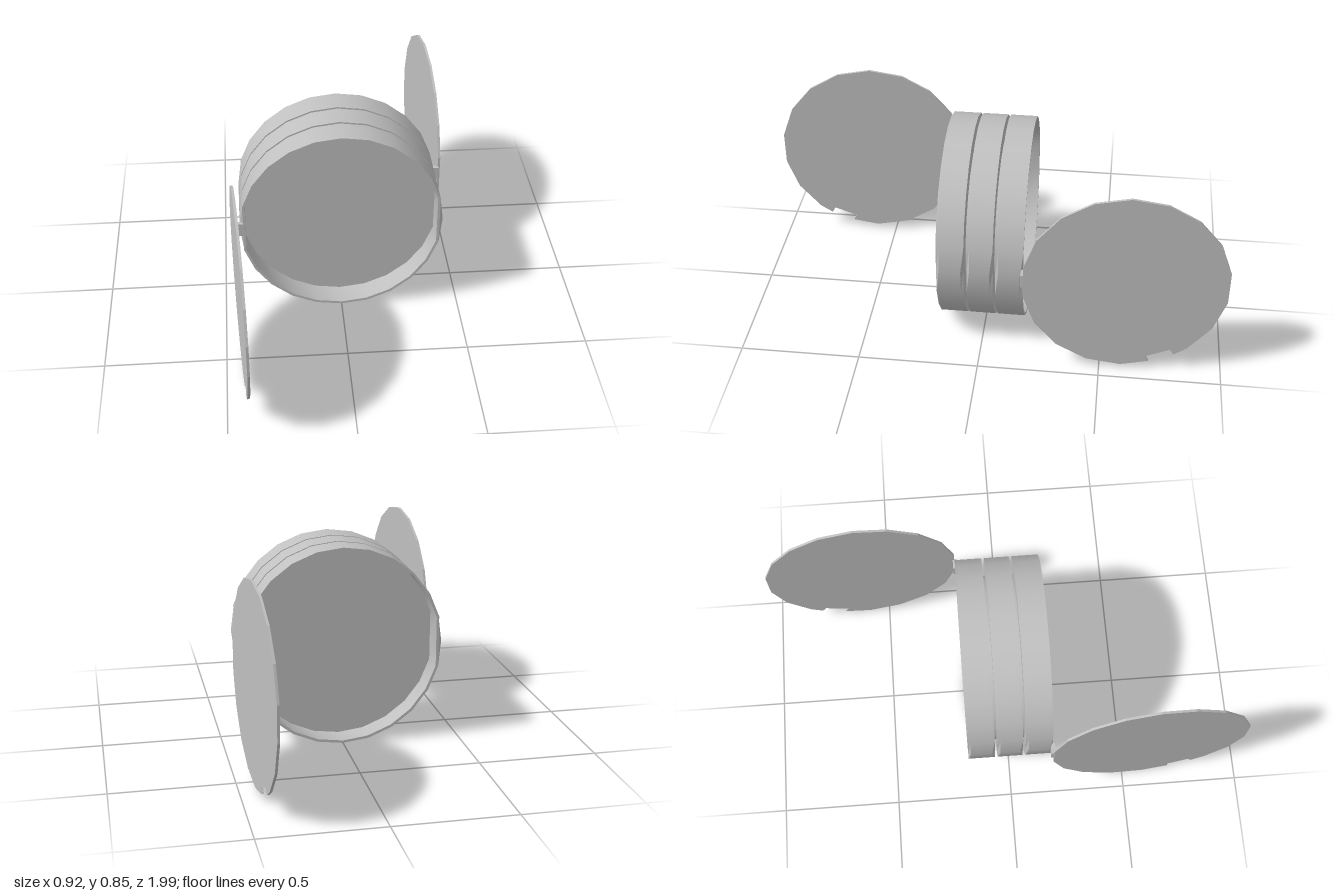
import * as THREE from 'three';
import { toCreasedNormals } from 'three/addons/utils/BufferGeometryUtils.js';

const R = 0.425, INNER = 0.414, SIDES = 24;

// Turned part whose axis runs along z; outline points are [radius, z].
// Side vertices at both ends and inside are flattened to a chord, leaving a chamfer.
function turned(outline, z0, z1) {
  const pts = outline.map(([r, z]) => new THREE.Vector2(r, z));
  const geo = new THREE.LatheGeometry(pts, SIDES).rotateX(Math.PI / 2);
  const p = geo.attributes.position;
  for (let i = 0; i < p.count; i++) {
    const x = p.getX(i), z = p.getZ(i);
    if (Math.abs(p.getY(i)) > 0.001 || Math.abs(x) < 0.3) continue;
    const atEnd = z < z0 + 0.005 || z > z1 - 0.005;
    if (atEnd || Math.abs(x) < R - 0.005) p.setX(i, x * Math.cos(Math.PI / 12));
  }
  return toCreasedNormals(geo, 0.5);
}

// Outer wall with points just inside each end for the side chamfer
const wall = (z0, z1) => [[0, z0], [R, z0], [R, z0 + 0.012], [R, z1 - 0.012], [R, z1]];

export function createModel() {
  const model = new THREE.Group();
  const metal = new THREE.MeshStandardMaterial({ color: 0xc0c0c0 });
  metal.name = 'grey metal';

  const add = (parent, name, geo, x = 0, y = 0, z = 0) => {
    const mesh = new THREE.Mesh(geo, metal);
    mesh.name = name;
    mesh.position.set(x, y, z);
    parent.add(mesh);
  };

  // Closed middle section
  add(model, 'middleSection', turned([...wall(-0.053, 0.053), [0, 0.053]], -0.053, 0.053), 0, R, 0);

  // Lid outline with a thumb notch near the bottom
  const outline = [];
  for (let i = 0; i < 18; i++) {
    const a = i * Math.PI / 9;
    if (i === 8) {
      outline.push([0.215, -0.352], [0.2, -0.327], [0.1, -0.367], [0.115, -0.392]);
    } else {
      outline.push([0.415 * Math.sin(a), 0.415 * Math.cos(a)]);
    }
  }
  const lidShape = new THREE.Shape(outline.map(([x, y]) => new THREE.Vector2(x, y)));
  const lidGeo = new THREE.ExtrudeGeometry(lidShape, { depth: 0.01, bevelEnabled: false });
  lidGeo.translate(0, 0, -0.005).rotateY(-Math.PI / 2 + 0.06);

  // Open tray, spacer, hinge and lid, repeated at the back by a half turn
  const trayGeo = turned(
    [...wall(0.064, 0.176), [INNER, 0.176], [INNER, 0.076], [0, 0.076]], 0.064, 0.176);
  const spacerGeo = toCreasedNormals(
    new THREE.CylinderGeometry(0.35, 0.35, 0.02, SIDES).rotateX(Math.PI / 2), 0.5);
  const hingeGeo = new THREE.BoxGeometry(0.045, 0.06, 0.018);

  for (const side of ['front', 'back']) {
    const half = new THREE.Group();
    half.name = side + 'Compartment';
    if (side === 'back') half.rotation.y = Math.PI;
    add(half, side + 'Tray', trayGeo, 0, R, 0);
    add(half, side + 'Spacer', spacerGeo, 0, R, 0.0585);
    add(half, side + 'Hinge', hingeGeo, -0.432, 0.427, 0.177);
    add(half, side + 'Lid', lidGeo, -0.431, 0.428, 0.587);
    model.add(half);
  }
  return model;
}
